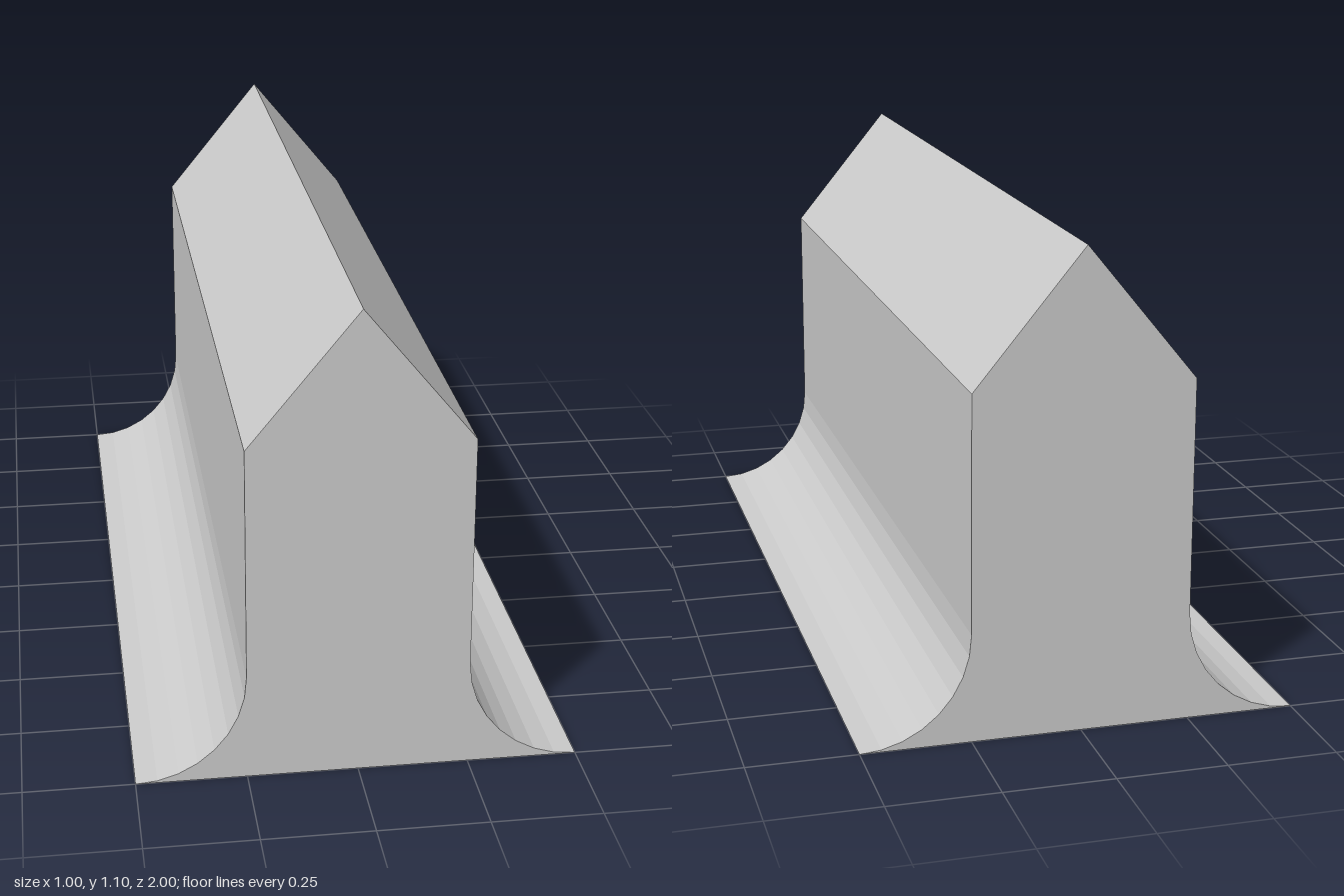
import * as THREE from 'three';

export function createModel() {
  const model = new THREE.Group();
  model.name = 'ridgedWall';

  const length = 2, halfBase = 0.5, halfWall = 0.25;
  const flare = halfBase - halfWall; // radius of the concave foot
  const eaves = 0.79, ridge = 1.095;

  // Cross-section: flat base, flared feet, upright sides, pointed top
  const profile = new THREE.Shape();
  profile.moveTo(-halfBase, 0);
  profile.lineTo(halfBase, 0);
  profile.absarc(halfBase, flare, flare, 1.5 * Math.PI, Math.PI, true);
  profile.lineTo(halfWall, eaves);
  profile.lineTo(0, ridge);
  profile.lineTo(-halfWall, eaves);
  profile.lineTo(-halfWall, flare);
  profile.absarc(-halfBase, flare, flare, 0, -Math.PI / 2, true);

  // Each foot curve gets eight flat facets
  const geometry = new THREE.ExtrudeGeometry(profile, {
    depth: length, bevelEnabled: false, curveSegments: 4,
  });
  geometry.translate(0, 0, -length / 2);

  const wall = new THREE.Mesh(
    geometry,
    new THREE.MeshStandardMaterial({ color: 0xcccccc, flatShading: true }),
  );
  wall.name = 'wall';
  model.add(wall);
  return model;
}
